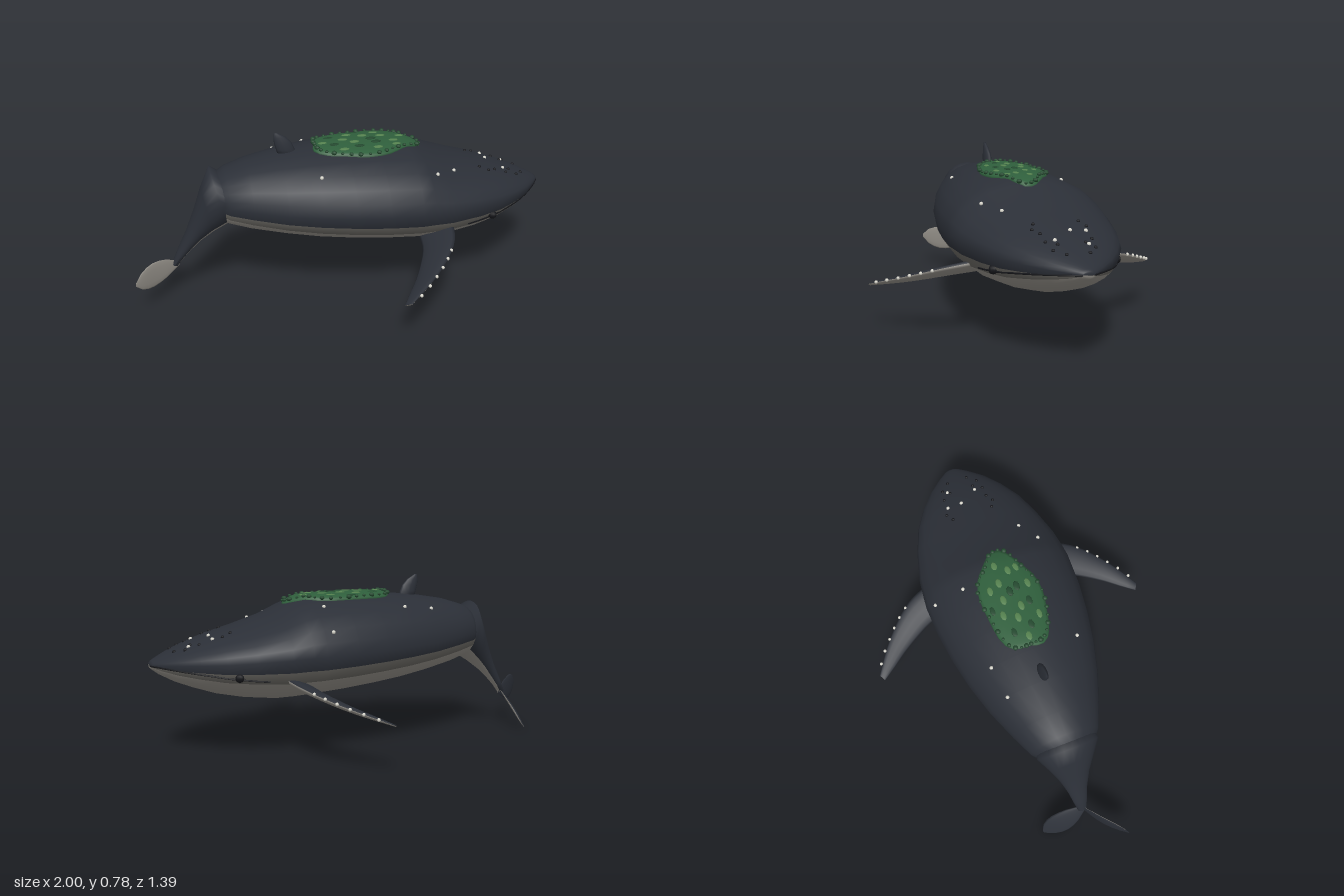
import * as THREE from 'three';

const V = (x, y, z) => new THREE.Vector3(x, y, z);
const mat = (color) => new THREE.MeshStandardMaterial({ color, roughness: 0.8, side: THREE.DoubleSide });
const dark = mat(0x2b2f37), flank = mat(0x66645f), pale = mat(0x918d86), black = mat(0x15161a);
const white = mat(0xd8d6cc), moss = mat(0x2f5f3c), mossDark = mat(0x24492f), mossLight = mat(0x55824f);

// Skins closed rings; each part [name, material, test(column)] takes some of the columns.
function loft(rings, parts) {
  const n = rings[0].length, pts = rings.flat(), tris = [];
  for (let i = 0; i < rings.length - 1; i++) for (let j = 0; j < n; j++) {
    const a = i * n + j, b = i * n + (j + 1) % n;
    tris.push([j, a, b, b + n], [j, a, b + n, a + n]);
  }
  const e = (rings.length - 1) * n;
  for (let j = 1; j < n - 1; j++) tris.push([j, 0, j + 1, j], [j, e, e + j, e + j + 1]);
  let volume = 0;
  for (const [, a, b, c] of tris) volume += pts[a].dot(pts[b].clone().cross(pts[c]));
  const indexOf = (list) => list.flatMap(([, a, b, c]) => (volume < 0 ? [a, c, b] : [a, b, c]));
  const whole = new THREE.BufferGeometry().setFromPoints(pts);
  whole.setIndex(indexOf(tris));
  whole.computeVertexNormals();
  const group = new THREE.Group();
  for (const [name, material, test] of parts) {
    const g = new THREE.BufferGeometry();
    g.setAttribute('position', whole.attributes.position);
    g.setAttribute('normal', whole.attributes.normal);
    g.setIndex(indexOf(tris.filter((t) => test(t[0]))));
    const mesh = new THREE.Mesh(g, material);
    mesh.name = name;
    group.add(mesh);
  }
  return group;
}

function ball(parent, name, material, p, r, sy = 1, sx = 1) {
  const m = new THREE.Mesh(new THREE.SphereGeometry(r, 8, 6), material);
  m.name = name;
  m.position.copy(p);
  m.scale.set(sx, sy, 1);
  parent.add(m);
}

// Body stations: x, top, widest height, bottom, half width
const stations = [
  [-0.62, 0.60, 0.51, 0.415, 0.10], [-0.55, 0.638, 0.505, 0.38, 0.165], [-0.45, 0.668, 0.50, 0.35, 0.21],
  [-0.3, 0.693, 0.49, 0.32, 0.268], [-0.15, 0.708, 0.485, 0.295, 0.312], [0, 0.714, 0.48, 0.277, 0.343],
  [0.15, 0.713, 0.475, 0.262, 0.363], [0.3, 0.703, 0.47, 0.251, 0.37], [0.36, 0.683, 0.47, 0.247, 0.365],
  [0.45, 0.637, 0.465, 0.245, 0.355], [0.6, 0.588, 0.457, 0.262, 0.317], [0.72, 0.556, 0.45, 0.287, 0.272],
  [0.82, 0.522, 0.445, 0.32, 0.212], [0.9, 0.492, 0.44, 0.352, 0.148], [0.96, 0.465, 0.435, 0.385, 0.082],
  [0.99, 0.45, 0.432, 0.408, 0.042], [1, 0.442, 0.43, 0.416, 0.025]];
const around = ([x, top, mid, low, w], a) =>
  V(x, mid + Math.sin(a) * (Math.sin(a) > 0 ? top - mid : mid - low), w * Math.cos(a));
function station(x) {
  const i = Math.max(1, stations.findIndex((s) => s[0] >= x));
  const p = stations[i - 1], q = stations[i], t = (x - p[0]) / (q[0] - p[0]);
  return p.map((v, k) => v + (q[k] - v) * t);
}
const skin = (x, a) => around(station(x), a);
const onBack = (x, z) => skin(x, Math.acos(z / station(x)[4]));

// Columns are 15 degrees wide; column 0 begins at the left flank
const ringOf = (f, n = 24) => Array.from({ length: n }, (_, j) => f((j / n) * Math.PI * 2));

// Leaf-like limb along a path, dark above and pale below
function limb(name, path, halves, D, thick) {
  const curve = new THREE.CatmullRomCurve3(path), rings = [], steps = 14, n = 12;
  for (let i = 0; i <= steps; i++) {
    const t = i / steps, f = t * (halves.length - 1), k = Math.min(Math.floor(f), halves.length - 2);
    const h = THREE.MathUtils.lerp(halves[k], halves[k + 1], f - k);
    const axis = curve.getPoint(1).sub(curve.getPoint(0)).normalize();
    const N = axis.cross(D).normalize(), c = curve.getPoint(t);
    rings.push(ringOf((a) => c.clone().addScaledVector(D, h * Math.cos(a)).addScaledVector(N, h * thick * Math.sin(a)), n));
  }
  const g = loft(rings, [[name + 'Top', dark, (j) => j < n / 2], [name + 'Underside', pale, (j) => j >= n / 2]]);
  g.name = name;
  return g;
}

export function createModel() {
  const whale = new THREE.Group();
  whale.name = 'whale';

  const body = loft(stations.map((s) => ringOf((a) => around(s, a))), [
    ['back', dark, (j) => j < 12 || j === 12 || j === 23],
    ['flank', flank, (j) => j === 13 || j === 22],
    ['belly', pale, (j) => j > 13 && j < 22]]);
  body.name = 'body';
  whale.add(body);

  // Tail stock: top x, top y, bottom x, bottom y, half width
  const stock = [[-0.53, 0.58, -0.47, 0.40, 0.14], [-0.62, 0.648, -0.55, 0.378, 0.148], [-0.665, 0.55, -0.62, 0.335, 0.105],
    [-0.7, 0.45, -0.68, 0.29, 0.072], [-0.745, 0.34, -0.73, 0.243, 0.048], [-0.79, 0.25, -0.77, 0.2, 0.034],
    [-0.825, 0.175, -0.795, 0.165, 0.022]];
  const tail = loft(stock.map(([tx, ty, bx, by, w]) => ringOf((a) => {
    const t = (1 + Math.sin(a)) / 2;
    return V(bx + (tx - bx) * t, by + (ty - by) * t, w * Math.cos(a));
  })), [['tailTop', dark, (j) => j < 15 || j > 20], ['tailUnderside', pale, (j) => j >= 15 && j <= 20]]);
  tail.name = 'tailStock';
  whale.add(tail);

  // Twisted tail flukes
  const leaf = [0.012, 0.03, 0.048, 0.058, 0.062, 0.057, 0.042, 0.008];
  whale.add(limb('leftFluke', [V(-0.79, 0.17, -0.01), V(-0.9, 0.172, 0.07), V(-0.998, 0.175, 0.163)], leaf, V(0, 1, 0), 0.12));
  whale.add(limb('rightFluke', [V(-0.81, 0.18, 0.01), V(-0.825, 0.095, -0.1), V(-0.83, 0.015, -0.2)], leaf,
    V(-0.65, -0.58, 0.49).normalize(), 0.12));

  // Flippers with knobs along the leading edge
  const chord = V(0.8, 0.36, 0.44).normalize();
  const path = [V(0.4, 0.345, 0.24), V(0.365, 0.32, 0.39), V(0.27, 0.275, 0.54), V(0.135, 0.225, 0.685)];
  const widths = [0.09, 0.085, 0.077, 0.068, 0.055, 0.04, 0.018];
  for (const s of [1, -1]) {
    const flipper = limb('flipper', path, widths, chord, 0.24);
    flipper.name = s > 0 ? 'leftFlipper' : 'rightFlipper';
    const curve = new THREE.CatmullRomCurve3(path);
    for (const t of [0.42, 0.52, 0.62, 0.72, 0.82, 0.92]) {
      const h = widths[Math.floor(t * 6)] * (1 - 0.15 * (t * 6 % 1));
      ball(flipper, 'flipperKnob', white, curve.getPoint(t).addScaledVector(chord, h * 0.97), 0.008);
    }
    flipper.scale.z = s;
    whale.add(flipper);

    // Eye, mouth line and head bumps
    ball(whale, 'eye', black, V(0.67, 0.392, s * 0.275), 0.02);
    const side = (x, a) => { const p = skin(x, a); p.z *= s; return p; };
    const lip = [1, 0.97, 0.93, 0.88, 0.82, 0.76, 0.7, 0.62, 0.54].map((x, i) => side(x, -0.18 - i * 0.035));
    const mouth = new THREE.Mesh(new THREE.TubeGeometry(new THREE.CatmullRomCurve3(lip), 40, 0.004, 5), black);
    mouth.name = 'mouthLine';
    whale.add(mouth);
    for (const [x, z] of [[0.66, 0.1], [0.74, 0.1], [0.8, 0.1], [0.86, 0.09], [0.9, 0.05], [0.7, 0.12], [0.83, 0.06]])
      ball(whale, 'headBump', black, onBack(x, z * s), 0.008);
  }
  ball(whale, 'noseTip', flank, V(0.985, 0.43, 0), 0.024, 0.6, 0.6);

  // Barnacles
  for (const [x, z] of [[0.74, -0.03], [0.84, -0.07], [0.8, 0.06], [0.74, -0.1], [0.5, 0.18], [0.4, 0.24], [0.25, -0.19],
    [0.26, -0.33], [-0.14, 0.22], [-0.15, -0.2], [-0.3, -0.18]])
    ball(whale, 'barnacle', white, onBack(x, z), 0.009);

  // Dorsal fin: height, rear x, front x, half thickness
  const fin = [[0.68, -0.3, -0.215, 0.02], [0.71, -0.308, -0.222, 0.02], [0.74, -0.316, -0.235, 0.016],
    [0.768, -0.318, -0.262, 0.011], [0.79, -0.314, -0.3, 0.004]];
  const dorsal = loft(fin.map(([y, x0, x1, w]) => ringOf((a) =>
    V((x0 + x1) / 2 + Math.cos(a) * (x1 - x0) / 2, y, w * Math.sin(a)), 12)), [['dorsalFinSkin', dark, () => true]]);
  dorsal.name = 'dorsalFin';
  whale.add(dorsal);

  // Moss mat draped over the back, with a knobbly rim and tufts
  const garden = new THREE.Group();
  garden.name = 'mossPatch';
  const spot = (a, r, lift) => {
    const wobble = 1 + 0.05 * Math.sin(a * 5 + 1) + 0.03 * Math.cos(a * 3);
    const x = 0.105 + 0.255 * r * wobble * Math.cos(a), z = 0.142 * r * wobble * Math.sin(a);
    const p = onBack(x, z);
    p.y += lift;
    return p;
  };
  const cover = loft([[1.02, -0.01], [1, 0.006], [0.92, 0.011], [0.7, 0.011], [0.45, 0.01], [0.2, 0.009], [0.01, 0.009]]
    .map(([r, lift]) => ringOf((a) => spot(a, r, lift), 32)), [['mossMat', moss, () => true]]);
  garden.add(cover);
  for (let i = 0; i < 36; i++) {
    const a = i / 36 * Math.PI * 2;
    ball(garden, 'mossKnob', mossDark, spot(a, 0.97 + 0.04 * Math.sin(i * 7), 0.012), 0.010 + 0.003 * Math.sin(i * 4), 0.8);
  }
  for (let i = 0; i < 18; i++)
    ball(garden, 'mossTuft', i % 3 ? mossLight : mossDark, spot(i * 2.4, 0.82 * Math.sqrt((i + 0.5) / 18), 0.009), 0.015, 0.3, 1.7);
  whale.add(garden);
  return whale;
}
